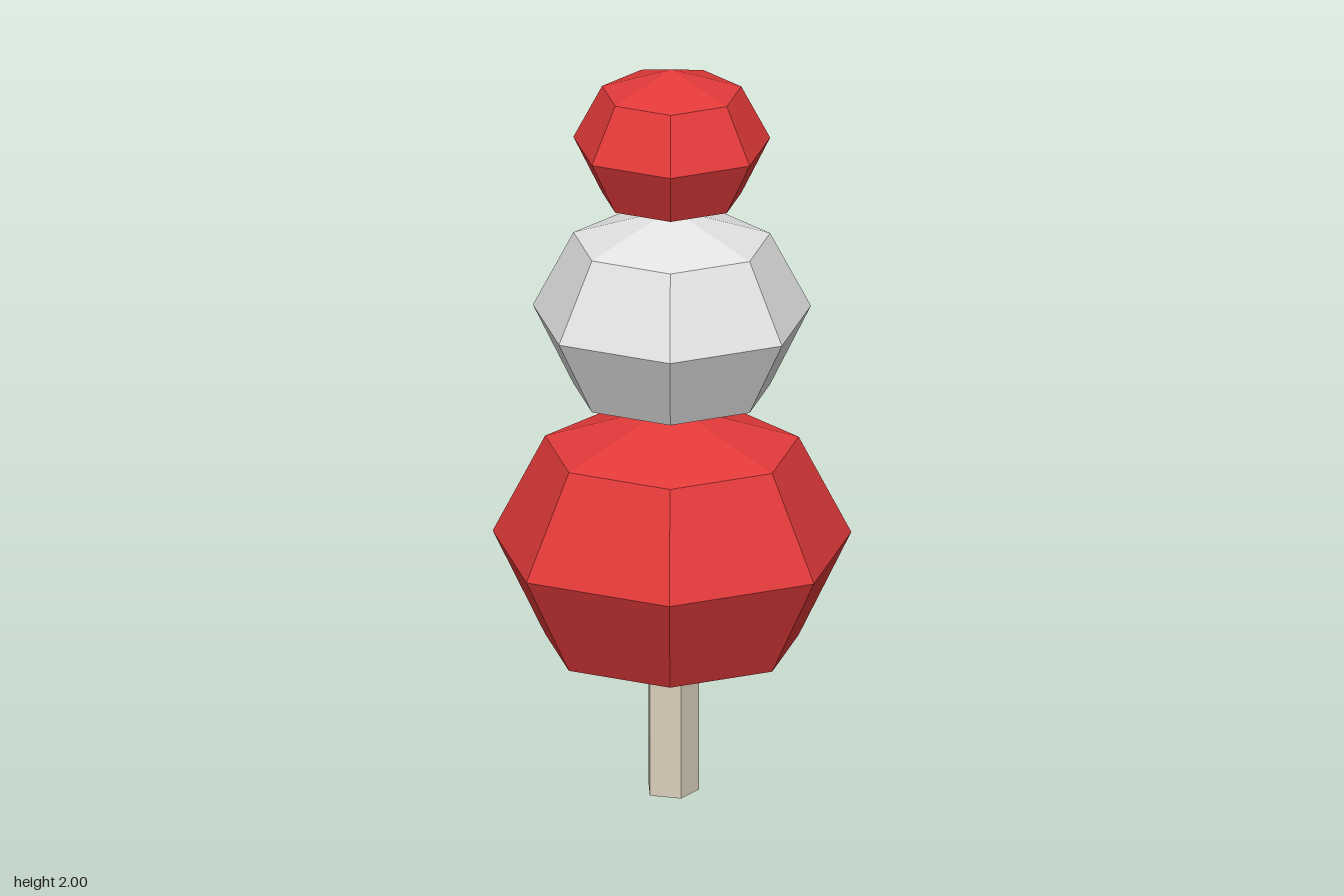
import * as THREE from 'three';

export function createModel() {
  const group = new THREE.Group();
  const make = (name, hex) => {
    const m = new THREE.MeshStandardMaterial({ color: hex, flatShading: true });
    m.name = name;
    return m;
  };
  const red = make('red', 0xe33a3a);
  const pale = make('pale grey', 0xe3e3e3);
  const wood = make('wood', 0xdbd1be);
  const axisZ = -0.025; // the odd-sided balls sit slightly back so the bounds are centred

  const add = (name, geometry, material, y) => {
    const mesh = new THREE.Mesh(geometry, material);
    mesh.name = name;
    mesh.position.set(0, y, axisZ);
    group.add(mesh);
  };

  // Squashed seven-sided balls with one corner facing the front
  const balls = [
    ['lowerBall', 0.481, 0.389, 0.68, red],
    ['middleBall', 0.373, 0.297, 1.316, pale],
    ['topBall', 0.264, 0.209, 1.791, red],
  ];
  for (const [name, radius, halfHeight, y, material] of balls) {
    const ball = new THREE.SphereGeometry(radius, 7, 4, Math.PI / 2);
    ball.scale(1, halfHeight / radius, 1);
    add(name, ball, material, y);
  }

  // Five-sided stick, its top buried in the lower ball
  add('stick', new THREE.CylinderGeometry(0.072, 0.072, 0.4, 5), wood, 0.2);

  return group;
}
